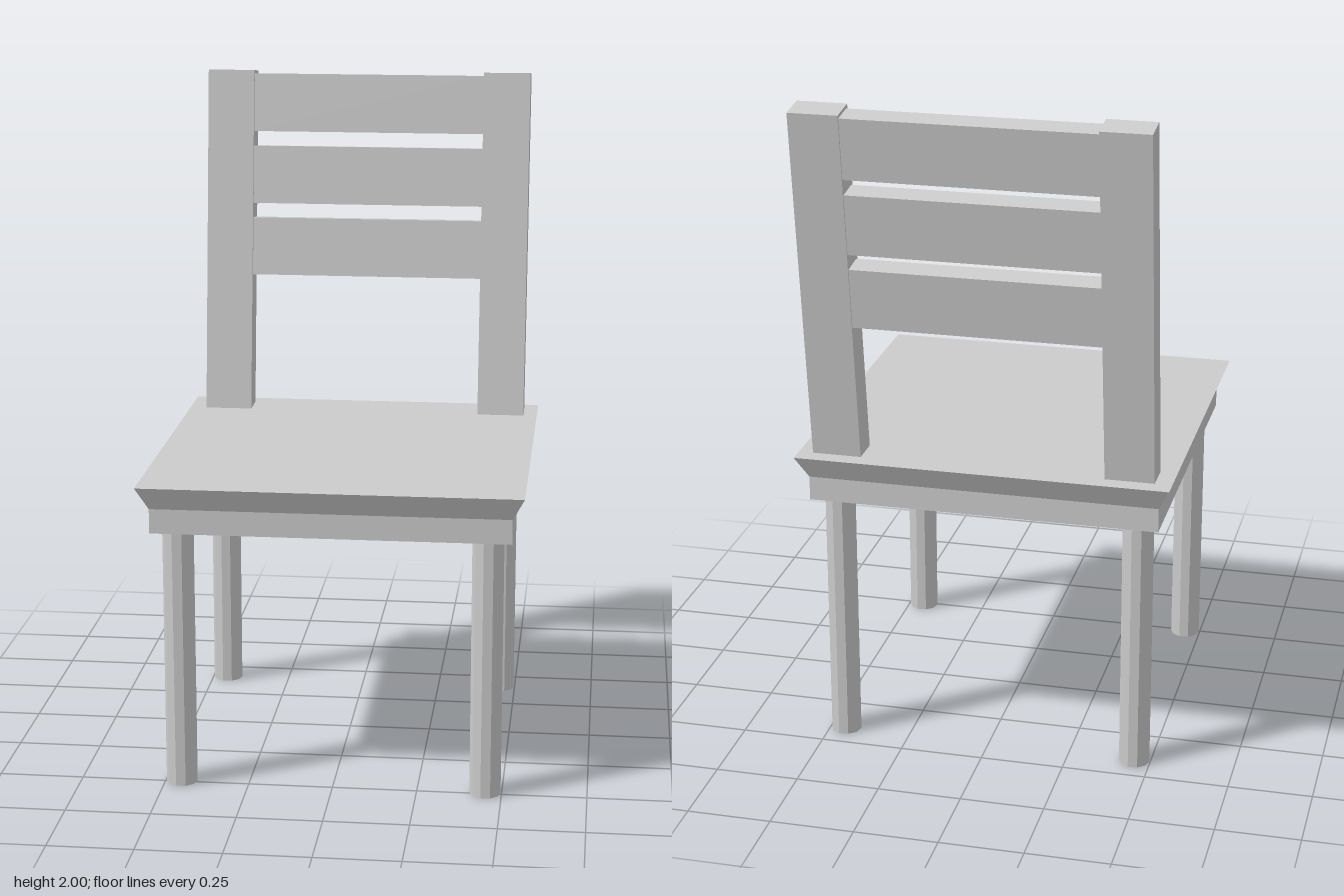
import * as THREE from 'three';

const material = new THREE.MeshStandardMaterial({ color: 0xcccccc, flatShading: true });

function add(parent, name, geometry, x = 0, y = 0, z = 0) {
  const mesh = new THREE.Mesh(geometry, material);
  mesh.name = name;
  mesh.position.set(x, y, z);
  parent.add(mesh);
  return mesh;
}

// Square outline of the given half width
function square(Type, h) {
  const s = new Type();
  s.moveTo(-h, -h);
  s.lineTo(h, -h);
  s.lineTo(h, h);
  s.lineTo(-h, h);
  s.closePath();
  return s;
}

export function createModel() {
  const chair = new THREE.Group();
  chair.name = 'chair';

  // Seat: bevelled top board, hollow apron frame and recessed underside
  const seat = new THREE.Group();
  seat.name = 'seat';
  seat.position.z = 0.042;
  chair.add(seat);

  const board = new THREE.CylinderGeometry(0.557 * Math.SQRT2, 0.522 * Math.SQRT2, 0.07, 4);
  board.rotateY(Math.PI / 4);
  add(seat, 'seatBoard', board, 0, 0.895, 0);

  const frame = square(THREE.Shape, 0.522);
  frame.holes.push(square(THREE.Path, 0.498));
  const apron = new THREE.ExtrudeGeometry(frame, { depth: 0.073, bevelEnabled: false });
  apron.rotateX(-Math.PI / 2);
  add(seat, 'seatApron', apron, 0, 0.787, 0);
  add(seat, 'seatUnderside', new THREE.BoxGeometry(0.996, 0.03, 0.996), 0, 0.845, 0);

  // Legs: four ten-sided posts reaching up into the seat
  const leg = new THREE.CylinderGeometry(0.046, 0.046, 0.84, 10);
  leg.rotateY(THREE.MathUtils.degToRad(22));
  for (const x of [-0.451, 0.451]) {
    add(chair, 'frontLeg', leg, x, 0.42, 0.492);
    add(chair, 'backLeg', leg, x, 0.42, -0.407);
  }

  // Backrest: two posts and three slats, leaning back together
  const back = new THREE.Group();
  back.name = 'backrest';
  back.position.set(0.004, 0.93, -0.4165);
  back.rotation.x = THREE.MathUtils.degToRad(-7.36);
  chair.add(back);

  const post = new THREE.BoxGeometry(0.146, 1.094, 0.0925);
  for (const x of [-0.437, 0.437]) add(back, 'backPost', post, x, 0.527, 0);

  const slat = new THREE.BoxGeometry(0.74, 0.182, 0.0755);
  for (let i = 0; i < 3; i++) add(back, 'backSlat', slat, 0, 0.973 - i * 0.228, -0.003);

  return chair;
}
